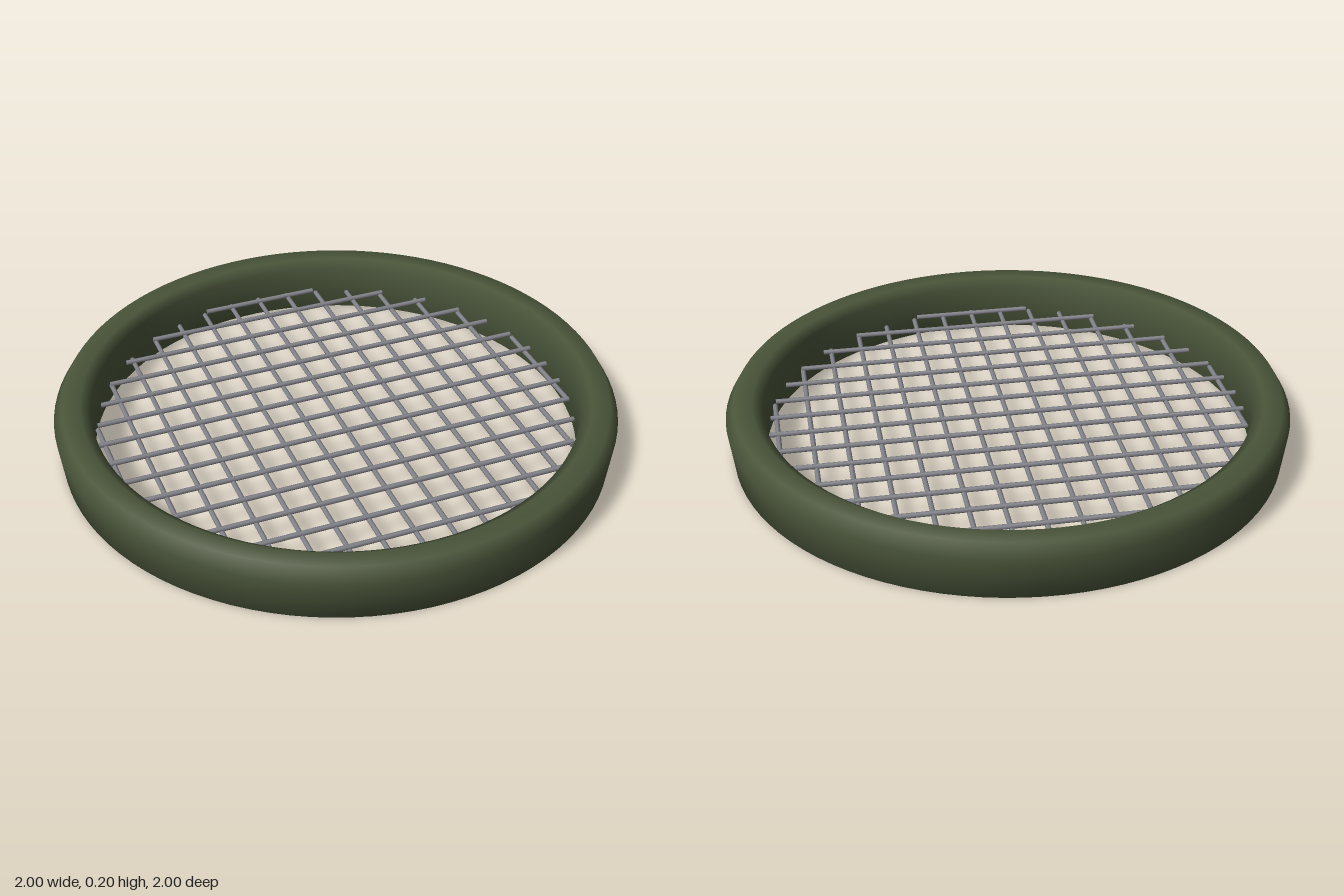
import * as THREE from 'three';

export function createModel() {
  const model = new THREE.Group();
  const green = new THREE.MeshStandardMaterial({ color: 0x4a553a });
  green.name = 'olive green';
  const steel = new THREE.MeshStandardMaterial({ color: 0x82828a });
  steel.name = 'steel grey';

  // Closed rim section: bottom middle, up the outside, over the top, down the inside
  const section = [
    [0.92, 0], [0.982, 0], [1, 0.15], [0.97, 0.2],
    [0.905, 0.2], [0.868, 0.172], [0.868, 0], [0.92, 0],
  ].map(([r, y]) => new THREE.Vector2(r, y));
  const rim = new THREE.Mesh(new THREE.LatheGeometry(section, 96), green);
  rim.name = 'rim';
  model.add(rim);

  // Woven screen: two crossing layers of wires, each cut to the circle
  const screen = new THREE.Group();
  screen.name = 'wireScreen';
  model.add(screen);
  const pitch = 0.1176, reach = 0.853, wireRadius = 0.009;
  for (let i = -7; i <= 7; i++) {
    const offset = i * pitch;
    const length = 2 * Math.sqrt(reach * reach - offset * offset);
    const geometry = new THREE.CylinderGeometry(wireRadius, wireRadius, length, 8);

    const crossWire = new THREE.Mesh(geometry, steel);
    crossWire.name = 'crossWire';
    crossWire.rotation.z = Math.PI / 2;
    crossWire.position.set(0, 0.084, offset);

    const lengthWire = new THREE.Mesh(geometry, steel);
    lengthWire.name = 'lengthWire';
    lengthWire.rotation.x = Math.PI / 2;
    lengthWire.position.set(offset, 0.074, 0);

    screen.add(crossWire, lengthWire);
  }
  return model;
}
